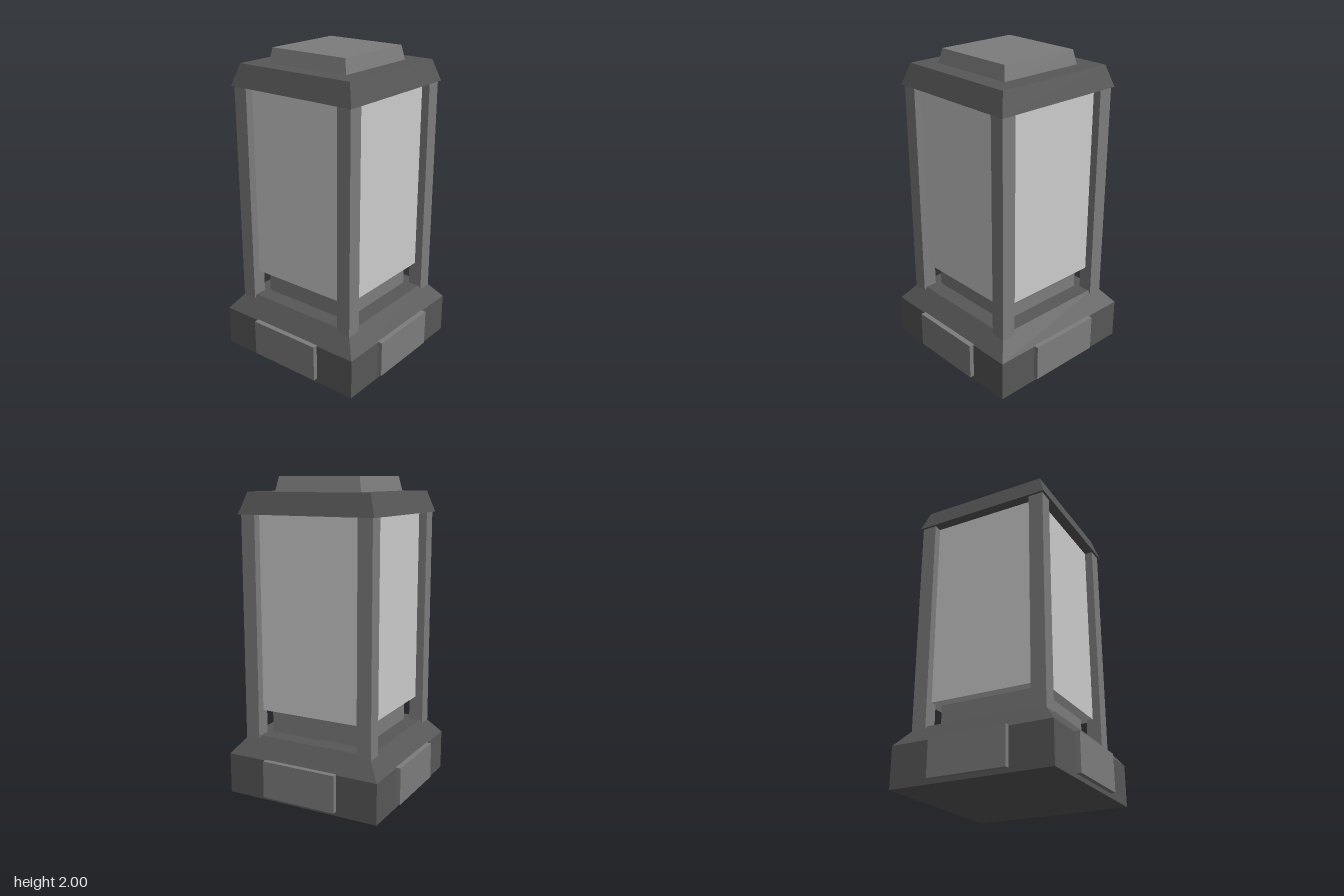
import * as THREE from 'three';

const material = (color) => new THREE.MeshStandardMaterial({ color, flatShading: true });

export function createModel() {
  const model = new THREE.Group();
  const dark = material(0x575757);
  const mid = material(0x7c7c7c);
  const light = material(0xcccccc);

  const add = (name, geometry, mat, parent = model) => {
    const mesh = new THREE.Mesh(geometry, mat);
    mesh.name = name;
    parent.add(mesh);
    return mesh;
  };

  // Box resting between two heights
  const box = (name, w, y0, y1, d, mat, parent) => {
    const mesh = add(name, new THREE.BoxGeometry(w, y1 - y0, d), mat, parent);
    mesh.position.y = (y0 + y1) / 2;
    return mesh;
  };

  // Square block with sloping sides, given half widths at bottom and top
  const taper = (name, bottom, top, y0, y1, mat) => {
    const g = new THREE.CylinderGeometry(top * Math.SQRT2, bottom * Math.SQRT2, y1 - y0, 4, 1);
    g.rotateY(Math.PI / 4);
    const mesh = add(name, g, mat);
    mesh.position.y = (y0 + y1) / 2;
    return mesh;
  };

  // Plinth with a sloping shoulder
  box('base', 1.04, 0, 0.26, 1.04, dark);
  taper('baseShoulder', 0.52, 0.425, 0.26, 0.38, dark);

  // Collar and lamp panes
  box('collar', 0.64, 0.38, 0.54, 0.64, mid);
  box('lampPanes', 0.78, 0.54, 1.78, 0.78, light);

  // Corner posts
  for (const x of [-1, 1]) {
    for (const z of [-1, 1]) {
      const post = box('cornerPost', 0.095, 0.34, 1.78, 0.095, mid);
      post.position.x = x * 0.395;
      post.position.z = z * 0.395;
    }
  }

  // Raised plate on each side of the plinth
  for (let i = 0; i < 4; i++) {
    const side = new THREE.Group();
    side.name = 'basePlateSide';
    side.rotation.y = (i * Math.PI) / 2;
    box('basePlate', 0.5, 0.027, 0.265, 0.04, mid, side).position.z = 0.53;
    model.add(side);
  }

  // Roof and cap
  taper('roof', 0.457, 0.413, 1.775, 1.91, dark);
  taper('roofCap', 0.293, 0.275, 1.91, 2, mid);

  return model;
}
